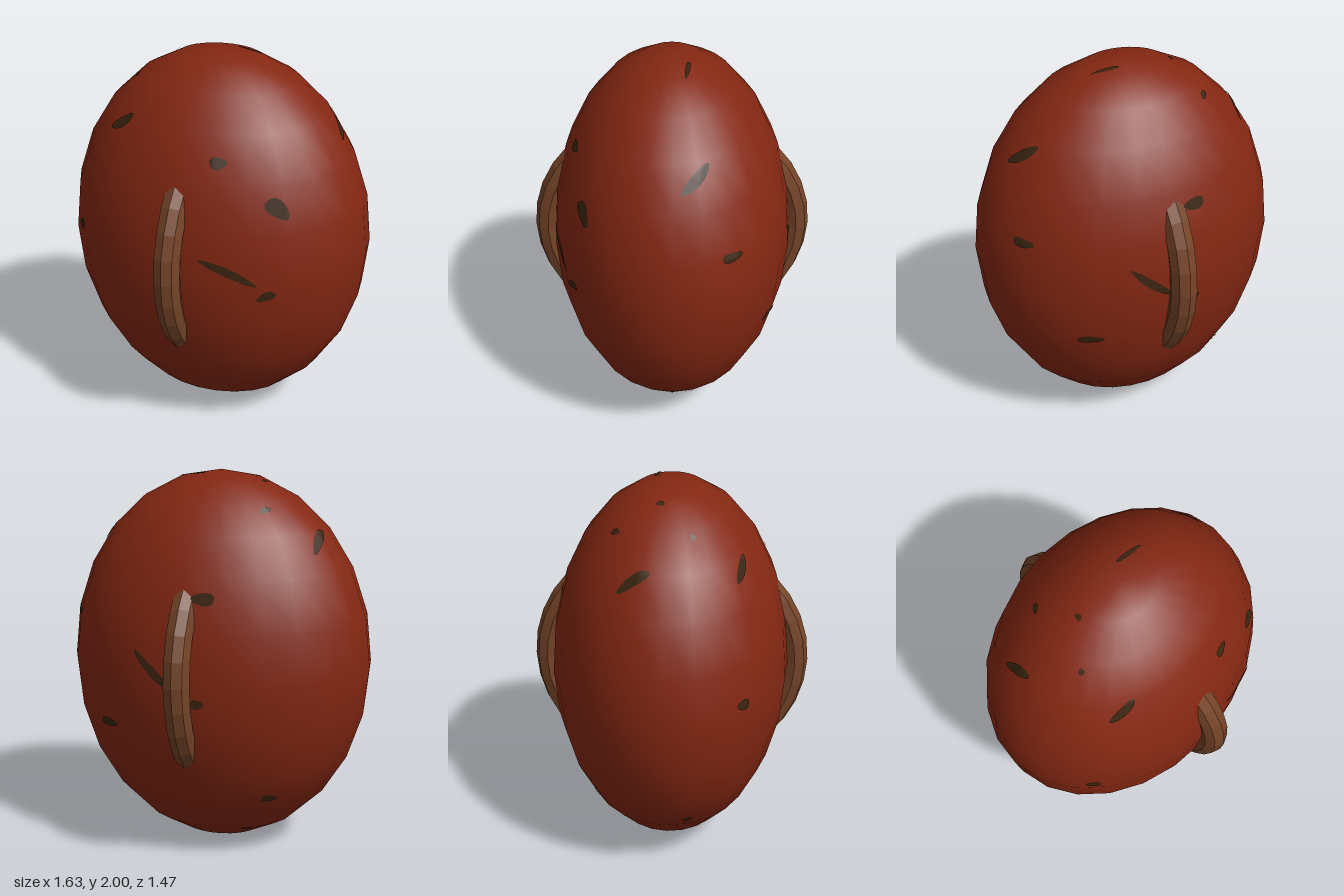
import * as THREE from 'three';

const RX = 0.815, RY = 1.0, RZ = 0.63;

// Spots: x and y from the body's middle (depth follows from the oval), length, width, tilt in degrees
const FRONT_SPOTS = [
  [-0.38, 0.67, 0.17, 0.055, 40],
  [0.195, 0.59, 0.085, 0.06, 0],
  [0.49, 0.385, 0.14, 0.085, -40],
  [0.29, 0.06, 0.31, 0.045, -23],
  [0.47, -0.07, 0.1, 0.05, 20],
  [-0.635, 0.06, 0.08, 0.055, 0],
  [-0.32, -0.79, 0.05, 0.05, 0],
  [-0.6, -0.65, 0.05, 0.04, 0],
  [-0.41, 0.84, 0.03, 0.035, 0],
];
const BACK_SPOTS = [
  [0.606, 0.645, 0.2, 0.055, 40],
  [0.694, 0.265, 0.12, 0.05, 0],
  [0.442, -0.275, 0.14, 0.05, 5],
  [0.474, -0.805, 0.21, 0.045, 48],
  [-0.57, 0.674, 0.19, 0.055, 42],
  [-0.105, 0.42, 0.12, 0.065, 0],
  [0.15, 0.05, 0.28, 0.045, -40],
  [-0.086, -0.1, 0.07, 0.05, 0],
  [-0.39, -0.64, 0.085, 0.045, 0],
  [-0.32, 0.826, 0.06, 0.035, 20],
  [-0.25, 0.95, 0.04, 0.03, 0],
  [0.13, 0.98, 0.15, 0.025, 40],
  [0.18, -0.95, 0.06, 0.03, 50],
  [-0.23, -0.87, 0.06, 0.03, 20],
];

// Thin irregular patch laid onto the faceted body by ray casting
function spotGeometry(body, [x, y, length, width, tilt], side, index) {
  const z = side * RZ * Math.sqrt(Math.max(0, 1 - (x / RX) ** 2 - (y / RY) ** 2));
  const centre = new THREE.Vector3(x, y + 1, z);
  const normal = new THREE.Vector3(x / RX ** 2, y / RY ** 2, z / RZ ** 2).normalize();
  const right = new THREE.Vector3(0, 1, 0).cross(normal).normalize();
  right.applyAxisAngle(normal, THREE.MathUtils.degToRad(tilt));
  const up = normal.clone().cross(right);
  const inward = normal.clone().negate();

  const geometry = new THREE.RingGeometry(0.0001, 1, 14, 6);
  const pos = geometry.attributes.position;
  const caster = new THREE.Raycaster();
  const p = new THREE.Vector3();
  for (let i = 0; i < pos.count; i++) {
    const u = pos.getX(i), v = pos.getY(i);
    const wobble = 1 + 0.1 * Math.sin(3 * Math.atan2(v, u) + index);
    p.copy(centre)
      .addScaledVector(right, u * wobble * length / 2)
      .addScaledVector(up, v * wobble * width / 2)
      .addScaledVector(normal, 0.3);
    caster.set(p, inward);
    const hit = caster.intersectObject(body)[0];
    p.addScaledVector(inward, (hit ? hit.distance : 0.3) - 0.005);
    pos.setXYZ(i, p.x, p.y, p.z);
  }
  geometry.computeVertexNormals();
  return geometry;
}

export function createModel() {
  const model = new THREE.Group();
  model.name = 'oval shell';

  const rust = new THREE.MeshStandardMaterial({ color: 0x842712 });
  rust.name = 'rust red';
  const wood = new THREE.MeshStandardMaterial({ color: 0x754428, flatShading: true });
  wood.name = 'wood brown';
  const dark = new THREE.MeshStandardMaterial({ color: 0x3a2410 });
  dark.name = 'dark brown';

  // Smooth oval body
  const body = new THREE.Mesh(new THREE.SphereGeometry(1, 24, 12).scale(RX, RY, RZ), rust);
  body.name = 'body';
  body.position.y = 1;
  body.updateMatrixWorld(true);
  model.add(body);

  // Curved ridges on front and back, ends sunk in the body
  const arc = THREE.MathUtils.degToRad(88);
  const ridge = new THREE.TorusGeometry(0.62, 0.07, 8, 8, arc)
    .rotateZ(-arc / 2)
    .rotateY(-Math.PI / 2)
    .translate(0, 0, 0.045);
  for (const [name, turn] of [['frontRidge', 0], ['backRidge', Math.PI]]) {
    const mesh = new THREE.Mesh(ridge, wood);
    mesh.name = name;
    mesh.position.y = 1;
    mesh.rotation.y = turn;
    model.add(mesh);
  }

  // Scattered dark spots and streaks
  for (const [name, specs, side] of [['frontSpots', FRONT_SPOTS, 1], ['backSpots', BACK_SPOTS, -1]]) {
    const group = new THREE.Group();
    group.name = name;
    specs.forEach((spec, i) => {
      const mesh = new THREE.Mesh(spotGeometry(body, spec, side, i), dark);
      mesh.name = 'spot';
      group.add(mesh);
    });
    model.add(group);
  }

  return model;
}
